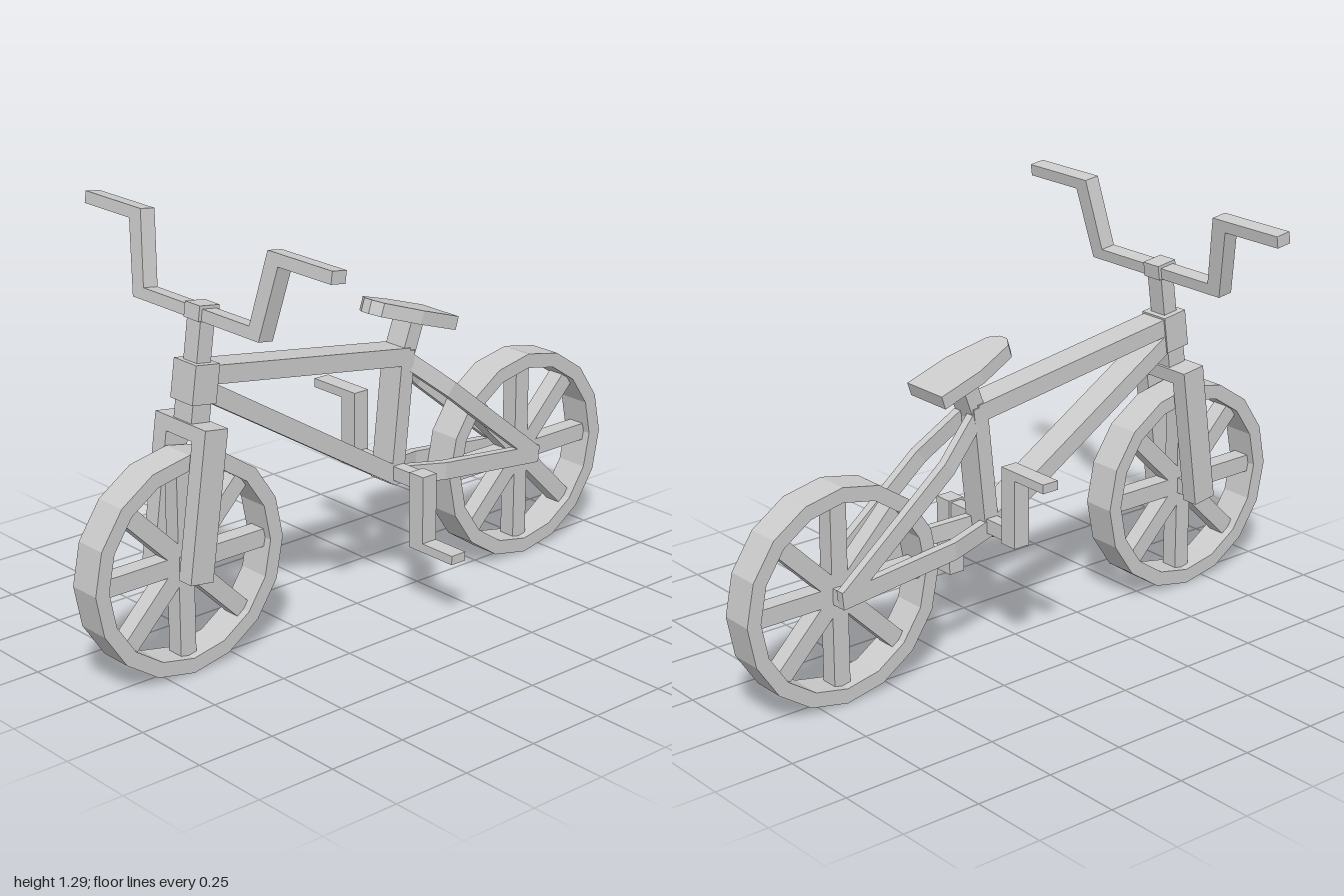
import * as THREE from 'three';

const grey = new THREE.MeshStandardMaterial({ color: 0xcccccc, flatShading: true });

function add(parent, name, geometry, x = 0, y = 0, z = 0) {
  const mesh = new THREE.Mesh(geometry, grey);
  mesh.name = name;
  mesh.position.set(x, y, z);
  parent.add(mesh);
  return mesh;
}

const box = (w, h, d) => new THREE.BoxGeometry(w, h, d);

// Rectangular bar following a path that is straight in side view but may bend in z
function beam(points, height, width) {
  const n = points.length - 1;
  const g = new THREE.BoxGeometry(n, height, width, n, 1, 1);
  const a = points[0], b = points[n];
  const len = Math.hypot(b[0] - a[0], b[1] - a[1]);
  const nx = -(b[1] - a[1]) / len, ny = (b[0] - a[0]) / len;
  const p = g.attributes.position;
  for (let i = 0; i < p.count; i++) {
    const q = points[Math.round(p.getX(i) + n / 2)];
    const off = p.getY(i);
    p.setXYZ(i, q[0] + nx * off, q[1] + ny * off, q[2] + p.getZ(i));
  }
  g.computeVertexNormals();
  return g;
}

// Flat outline extruded evenly about its own plane
function plate(shape, depth) {
  const g = new THREE.ExtrudeGeometry(shape, { depth, bevelEnabled: false });
  return g.translate(0, 0, -depth / 2);
}

const toShape = (pts) => new THREE.Shape(pts.map(([x, y]) => new THREE.Vector2(x, y)));

function ringPoints(r, sides) {
  return Array.from({ length: sides }, (_, i) => {
    const t = (i / sides) * Math.PI * 2;
    return new THREE.Vector2(r * Math.cos(t), r * Math.sin(t));
  });
}

function makeWheel(name, x) {
  const wheel = new THREE.Group();
  wheel.name = name;
  wheel.position.set(x, 0.333, 0);
  const rim = new THREE.Shape(ringPoints(0.333, 16));
  rim.holes.push(new THREE.Path(ringPoints(0.287, 16)));
  add(wheel, 'tyre', plate(rim, 0.106));
  // four full-width bars give eight spokes
  for (let i = 0; i < 4; i++) {
    add(wheel, 'spoke', box(0.58, 0.055, 0.055)).rotation.z = (i * Math.PI) / 4;
  }
  add(wheel, 'axle', box(0.05, 0.05, 0.12));
  return wheel;
}

function makeSteering() {
  // local y runs up the leaning steering axis
  const g = new THREE.Group();
  g.name = 'steering';
  g.position.set(-0.679, 0.3, 0);
  g.rotation.z = -0.141;
  for (const s of [1, -1]) add(g, 'forkBlade', box(0.08, 0.45, 0.055), 0, 0.225, s * 0.086);
  add(g, 'forkCrown', box(0.08, 0.045, 0.225), 0, 0.4275, 0);
  add(g, 'steerer', box(0.065, 0.08, 0.08), 0, 0.475, 0);
  add(g, 'headTube', box(0.085, 0.115, 0.1), 0, 0.5625, 0);
  add(g, 'stem', box(0.05, 0.15, 0.06), 0, 0.69, 0);
  add(g, 'barClamp', box(0.07, 0.045, 0.066), 0, 0.762, 0);
  // handlebar outline across the model, mirrored about the middle
  const half = [[0.28, 0.74], [0.328, 0.957], [0.542, 0.957], [0.542, 0.993], [0.28, 0.993], [0.235, 0.775]];
  const other = half.map(([z, y]) => [-z, y]).reverse();
  const bar = plate(toShape([...half, ...other]), 0.05);
  add(g, 'handlebar', bar).rotation.y = Math.PI / 2;
  return g;
}

function makeFrame() {
  const g = new THREE.Group();
  g.name = 'frame';
  add(g, 'topTube', beam([[-0.59, 0.88, 0], [0.17, 0.765, 0]], 0.055, 0.09));
  add(g, 'downTube', beam([[-0.59, 0.835, 0], [0.135, 0.39, 0]], 0.055, 0.09));
  add(g, 'seatTube', beam([[0.122, 0.375, 0], [0.167, 0.785, 0]], 0.05, 0.09));
  add(g, 'seatPost', beam([[0.16, 0.745, 0], [0.212, 0.885, 0]], 0.05, 0.08));
  // paired rear stays, flaring out to clear the wheel
  for (const s of [1, -1]) {
    add(g, 'seatStay', beam([[0.165, 0.757, s * 0.025], [0.31, 0.64, s * 0.067], [0.68, 0.341, s * 0.067]], 0.05, 0.027));
    add(g, 'chainStay', beam([[0.11, 0.4, s * 0.025], [0.29, 0.38, s * 0.067], [0.695, 0.336, s * 0.067]], 0.055, 0.027));
  }
  return g;
}

function makeSeat() {
  const side = [[-0.158, 0.016], [-0.135, 0.048], [0, 0.08], [0.15, 0.08]];
  const outline = [...side.map(([x, z]) => [x, -z]), ...side.slice().reverse()];
  const geometry = plate(toShape(outline), 0.042).rotateX(-Math.PI / 2);
  const seat = new THREE.Mesh(geometry, grey);
  seat.name = 'seat';
  seat.position.set(0.187, 0.892, 0);
  seat.rotation.z = -0.32;
  return seat;
}

function makeCranks() {
  const g = new THREE.Group();
  g.name = 'cranks';
  g.position.set(0.127, 0.41, 0);
  add(g, 'crankAxle', box(0.04, 0.045, 0.3));
  // one arm down on the near side, one arm up on the far side
  for (const s of [1, -1]) {
    add(g, 'crankArm', box(0.055, 0.24, 0.06), 0, -s * 0.092, s * 0.153);
    add(g, 'pedal', box(0.055, 0.028, 0.14), 0, -s * 0.198, s * 0.24);
  }
  return g;
}

export function createModel() {
  const bike = new THREE.Group();
  bike.name = 'bicycle';
  bike.add(
    makeWheel('frontWheel', -0.667),
    makeWheel('rearWheel', 0.667),
    makeSteering(),
    makeFrame(),
    makeSeat(),
    makeCranks()
  );
  return bike;
}
